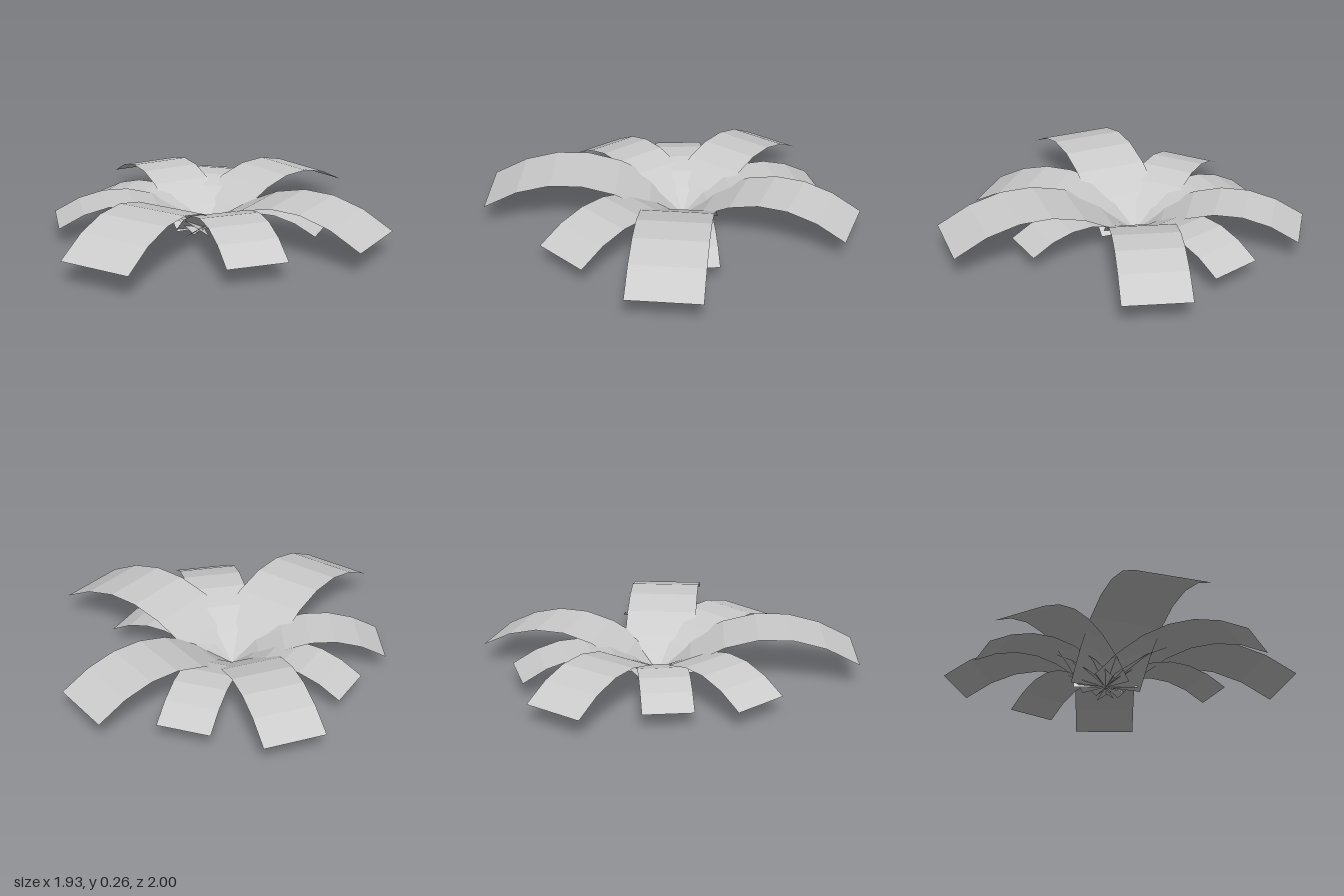
import * as THREE from 'three';

// Crown point where all leaves meet, and leaf proportions relative to length
const CROWN_X = -0.08, CROWN_Z = -0.065;
const WIDTH = 0.37, SEGMENTS = 6;

// Midpoint of each leaf tip on the ground plan: [x, z]
const TIPS = [
  [-0.095, -1.0], [0.915, -0.335], [0.245, 0.935], [-0.5, 0.615], [-0.922, -0.307],
  [0.707, 0.297], [-0.72, 0.212], [-0.52, -0.678], [0.526, -0.355],
];

// Flat ribbon running along +x, rising from the crown and drooping at the tip
function leafGeometry(length) {
  const geo = new THREE.PlaneGeometry(1, WIDTH * length, SEGMENTS, 1);
  geo.rotateX(-Math.PI / 2);
  geo.translate(0.5, 0, 0);
  const p = geo.attributes.position;
  for (let i = 0; i < p.count; i++) {
    const t = p.getX(i);
    p.setX(i, t * length);
    p.setY(i, length * (0.88 * t - 0.76 * t * t));
  }
  geo.computeVertexNormals();
  return geo;
}

export function createModel() {
  const plant = new THREE.Group();
  plant.name = 'plant';
  const leafGrey = new THREE.MeshStandardMaterial({
    color: 0xcccccc, flatShading: true, side: THREE.DoubleSide,
  });
  leafGrey.name = 'leaf grey';

  // Ring of leaves around the crown
  TIPS.forEach(([x, z], i) => {
    const dx = x - CROWN_X, dz = z - CROWN_Z;
    const leaf = new THREE.Mesh(leafGeometry(Math.hypot(dx, dz)), leafGrey);
    leaf.name = `leaf${i + 1}`;
    leaf.position.set(CROWN_X, 0, CROWN_Z);
    leaf.rotation.y = -Math.atan2(dz, dx);
    plant.add(leaf);
  });
  return plant;
}
